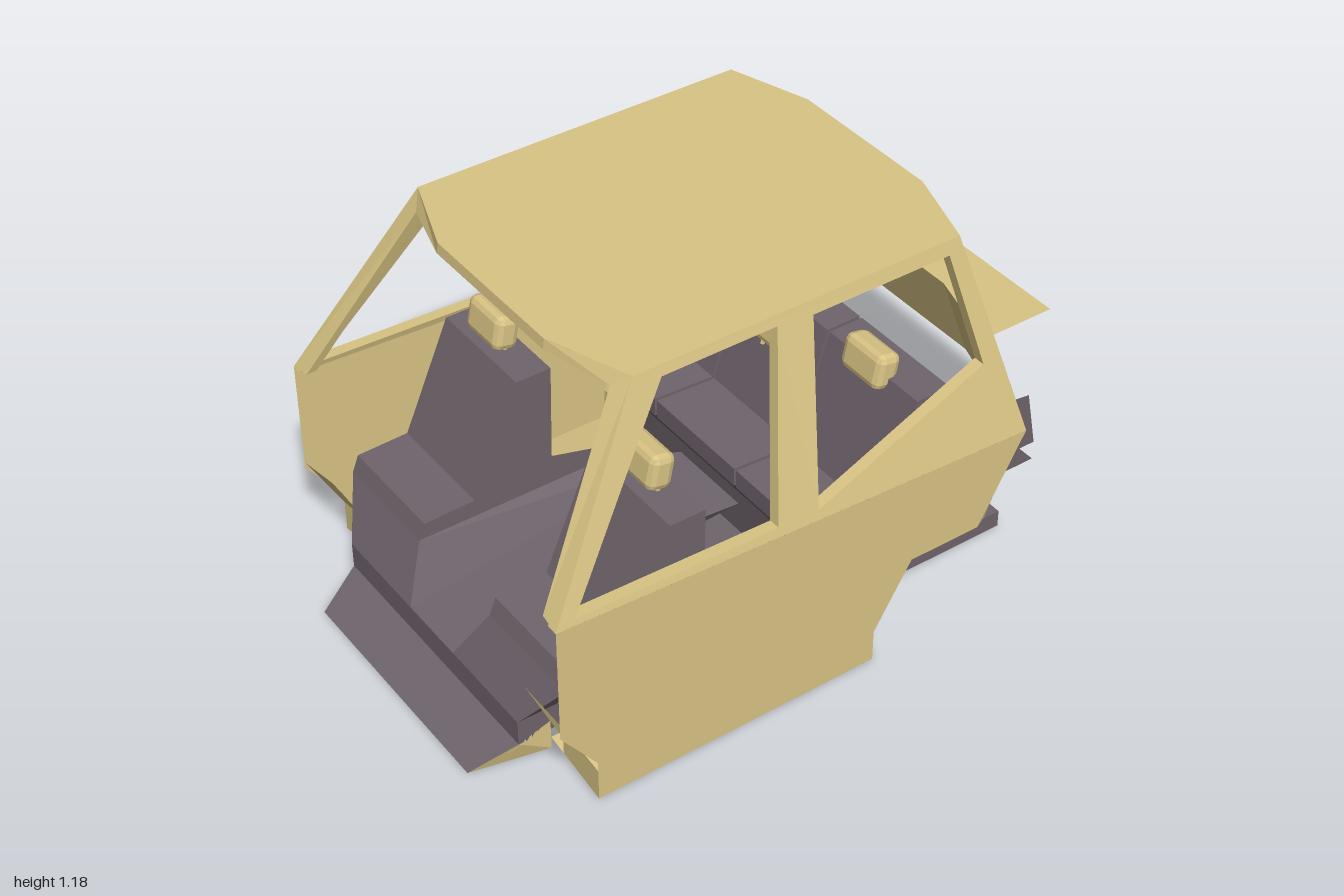
import * as THREE from 'three';
import { RoundedBoxGeometry } from 'three/addons/geometries/RoundedBoxGeometry.js';

const make = (color) => new THREE.MeshStandardMaterial({ color, flatShading: true, side: THREE.DoubleSide });
const paint = make(0xd9c484);
const trim = make(0x6f646c);

const shapeOf = (pts, holes = []) => {
  const s = new THREE.Shape(pts.map((p) => new THREE.Vector2(...p)));
  s.holes = holes.map((h) => new THREE.Path(h.map((p) => new THREE.Vector2(...p))));
  return s;
};

// Moves every vertex of a geometry by a rule (x, y, z) => [x, y, z]
function bend(geo, rule) {
  const p = geo.attributes.position;
  for (let i = 0; i < p.count; i++) p.setXYZ(i, ...rule(p.getX(i), p.getY(i), p.getZ(i)));
  geo.computeVertexNormals();
  return geo;
}

const plate = (pts, holes, depth) =>
  new THREE.ExtrudeGeometry(shapeOf(pts, holes), { depth, bevelEnabled: false });

// Solid with a (z, y) side profile between x0 and x1
const prism = (profile, x0, x1) =>
  bend(plate(profile, [], x1 - x0), (a, b, c) => [x1 - c, b, a]);

// Open surface through rows of [x, y, z] points
function sheet(rows) {
  const pos = [];
  for (let i = 0; i + 1 < rows.length; i++)
    for (let j = 0; j + 1 < rows[i].length; j++) {
      const [a, b, c, d] = [rows[i][j], rows[i][j + 1], rows[i + 1][j + 1], rows[i + 1][j]];
      pos.push(...a, ...b, ...c, ...a, ...c, ...d);
    }
  const g = new THREE.BufferGeometry();
  g.setAttribute('position', new THREE.Float32BufferAttribute(pos, 3));
  g.computeVertexNormals();
  return g;
}

// Full-width strip through [y, z, halfWidth] lines
const strip = (lines) => sheet(lines.map(([y, z, w]) => [[-w, y, z], [w, y, z]]));

// Window surround from outer to inner half outlines, mirrored, with a reveal
function surround(outer, inner, reveal, closed) {
  const whole = (half, dz) => {
    const right = half.map(([x, y, z]) => [x, y, z + dz]);
    const left = right.map(([x, y, z]) => [-x, y, z]).reverse();
    const loop = [...left, ...right];
    return closed ? [...loop, loop[0]] : loop;
  };
  return sheet([whole(outer, 0), whole(inner, 0), whole(inner, reveal), whole(outer, reveal)]);
}

// Rear bench side profile: thin cushion and reclined back
const benchProfile = [[0, 0.36], [0, 0.42], [-0.2, 0.41], [-0.31, 0.76], [-0.42, 0.76], [-0.45, 0.36]];

export function createModel() {
  const root = new THREE.Group();
  const add = (name, geo, mat, parent = root) => {
    const m = new THREE.Mesh(geo, mat);
    m.name = name;
    parent.add(m);
    return m;
  };

  // Roof with chamfered corners
  const roof = new THREE.ShapeGeometry(shapeOf([[-0.5, -0.48], [-0.25, -0.56], [0.25, -0.56], [0.5, -0.48],
    [0.5, 0.54], [0.25, 0.63], [-0.25, 0.63], [-0.5, 0.54]]));
  add('roof', bend(roof, (x, z) => [x, 1.181, z]), paint);

  // Rear panel around the rear window, with a flat shelf behind
  add('rearPanel', surround(
    [[0.25, 1.18, -0.56], [0.5, 1.18, -0.48], [0.655, 0.57, -0.63], [0.33, 0.62, -0.71]],
    [[0.26, 1.145, -0.568], [0.45, 1.145, -0.507], [0.51, 0.85, -0.581], [0.3, 0.855, -0.64]],
    0.025, true), paint);
  add('rearShelf', strip([[0.62, -0.71, 0.325], [0.62, -1, 0.325]]), paint);

  // Windscreen frame: header and front pillars
  add('windscreenFrame', surround(
    [[0.25, 1.18, 0.63], [0.5, 1.18, 0.54], [0.655, 0.64, 0.88]],
    [[0.25, 1.15, 0.635], [0.455, 1.14, 0.575], [0.59, 0.65, 0.875]],
    -0.03, false), paint);

  // Body sides, mirrored
  for (const [side, sx] of [['left', 1], ['right', -1]]) {
    const g = new THREE.Group();
    g.name = side + 'Side';
    g.scale.x = sx;
    root.add(g);

    // Window frame leaning inwards above the belt line
    const frame = plate([[-0.63, 0.57], [0.88, 0.64], [0.54, 1.18], [-0.48, 1.18]],
      [[[0.82, 0.655], [0.2, 0.635], [0.11, 1.15], [0.46, 1.15]],
        [[0.07, 0.63], [-0.51, 0.81], [-0.44, 1.14], [0, 1.14]]], 0.035);
    add('windowFrame', bend(frame, (z, y, d) => {
      const belt = 0.599 + 0.0464 * z;
      return [0.655 - 0.155 * (y - belt) / (1.18 - belt) - d, y, z];
    }), paint, g);

    // Flat lower side
    const lower = new THREE.ShapeGeometry(shapeOf([[-0.63, 0.57], [-0.48, 0.3], [-0.25, 0.3], [-0.13, 0.1],
      [-0.13, 0], [0.77, 0], [0.77, 0.13], [0.88, 0.28], [0.88, 0.64]]));
    add('lowerSide', bend(lower, (z, y) => [0.655, y, z]), paint, g);

    // Underside between the lower side and the cabin floor
    add('rocker', sheet([
      [[0.655, 0, 0.77], [0.43, 0.04, 0.77]],
      [[0.655, 0, -0.13], [0.43, 0.04, -0.13]]]), paint, g);

    // Wheel arch returns
    const rearArch = [[-0.13, 0], [-0.13, 0.1], [-0.25, 0.3], [-0.48, 0.3]];
    add('rearArch', sheet(rearArch.map(([z, y]) => [[0.655, y, z], [0.5, y, z]])), paint, g);
    add('rearArchLip', sheet([
      [[0.655, 0.3, -0.48], [0.635, 0.3, -0.52]],
      [[0.655, 0.57, -0.63], [0.635, 0.57, -0.635]]]), paint, g);
    add('frontArch', sheet([
      [[0.655, 0.3, 0.88], [0.49, 0.335, 0.88]],
      [[0.655, 0.1, 0.77], [0.49, 0.12, 0.77]],
      [[0.655, 0, 0.77], [0.49, 0.03, 0.77]]]), paint, g);

    // Front seat
    add('frontSeat', prism([[0.76, 0.31], [0.77, 0.35], [0.61, 0.355], [0.46, 0.695], [0.35, 0.695],
      [0.36, 0.31]], 0.18, 0.54), trim, g);

    // Kick panel below the seat cushion
    add('kickPanel', sheet([
      [[0.18, 0.35, 0.77], [0.54, 0.35, 0.77]],
      [[0.18, 0.3, 0.79], [0.54, 0.3, 0.79]],
      [[0.11, 0.15, 0.87], [0.43, 0.15, 0.87]]]), trim, g);
    add('floorSide', sheet([
      [[0.54, 0.31, 0.78], [0.54, 0.31, 0.36]],
      [[0.43, 0.15, 0.87], [0.43, 0.15, 0.2]],
      [[0.43, 0.07, 0.87], [0.43, 0.07, -0.1]]]), trim, g);

    // Painted closing piece beside the front floor
    add('valanceEnd', sheet([
      [[0.43, 0.07, 0.87], [0.38, 0, 1]],
      [[0.43, 0.1, 0.77], [0.43, 0, 0.77]]]), paint, g);

    // Rear inner wall and its sill
    add('rearInnerWall', prism([[-0.13, 0.03], [-0.13, 0.1], [-0.25, 0.3], [-0.3, 0.37], [-0.55, 0.37],
      [-0.65, 0.14], [-0.65, 0.03]], 0.4, 0.42), trim, g);
    const sill = add('rearSill', new THREE.BoxGeometry(0.04, 0.055, 0.64), trim, g);
    sill.position.set(0.41, 0.03, -0.45);

    // Outer section of the rear bench and the trim over the wheel behind it
    add('rearBenchOuter', prism(benchProfile, 0.195, 0.57), trim, g);
    add('wheelTrimUpper', sheet([
      [[0.57, 0.61, -0.63], [0.57, 0.6, -0.71]],
      [[0.57, 0.42, -0.64], [0.57, 0.42, -0.745]]]), trim, g);
    add('wheelTrimLower', prism([[-0.64, 0.42], [-0.745, 0.36], [-0.55, 0.36]], 0.39, 0.57), trim, g);
  }
  add('rearBenchCentre', prism(benchProfile, -0.185, 0.185), trim);
  add('loadFloor', strip([[0.4, -0.44, 0.57], [0.42, -0.62, 0.57]]), trim);

  // Channel between the front seats
  const channel = [[0.77, 0.79, 0.87, 0.15, 0.11], [0.36, 0.2, -0.05, 0.24, 0.14]];
  add('centreChannel', sheet(channel.map(([zt, zm, zb, y, w]) => [
    [-0.18, 0.35, zt], [-0.18, 0.3, zm], [-w, y, zb],
    [w, y, zb], [0.18, 0.3, zm], [0.18, 0.35, zt]])), trim);

  // Front floor with its painted underside
  add('frontFloor', strip([[0.15, 0.87, 0.43], [0.07, 0.87, 0.43], [0, 1, 0.38]]), trim);
  add('frontValance', strip([[0.06, 0.86, 0.43], [0, 0.996, 0.38]]), paint);
  add('cabinFloor', strip([[0.07, 0.87, 0.43], [0.07, -0.1, 0.43], [0.24, -0.08, 0.43], [0.38, 0, 0.43]]), trim);

  // Head restraints on twin posts
  const restraints = [[-0.37, 0.765, 0.41], [0.36, 0.77, 0.41],
    [-0.37, 0.775, -0.31], [0.01, 0.725, -0.26], [0.37, 0.775, -0.31]];
  restraints.forEach(([x, y, z], i) => {
    const g = new THREE.Group();
    g.name = i < 2 ? 'frontHeadRestraint' : 'rearHeadRestraint';
    g.position.set(x, y, z);
    g.rotation.x = -0.2;
    root.add(g);
    add('pad', new RoundedBoxGeometry(0.16, i === 3 ? 0.15 : 0.105, 0.075, 1, 0.02), paint, g);
    for (const px of [-0.045, 0.045]) {
      const post = add('post', new THREE.CylinderGeometry(0.007, 0.007, 0.1, 6), paint, g);
      post.position.set(px, -0.07, -0.02);
    }
  });
  return root;
}
